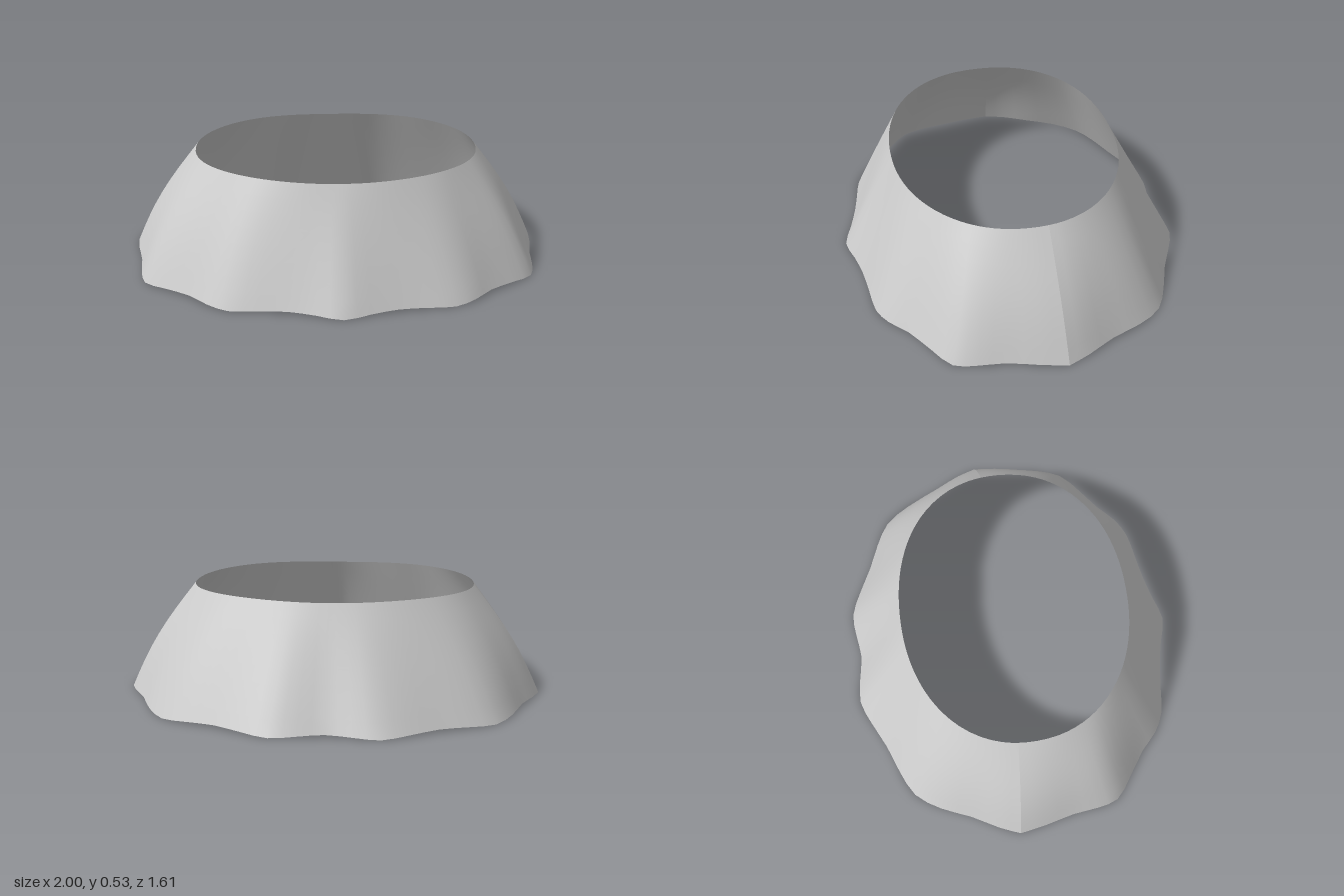
import * as THREE from 'three';

const HEIGHT = 0.525;
const ROWS = 8;
const STEPS = 2; // samples per hem point

// Right half of the wavy hem [x, z, y], from the side seam to each centre line
const frontHem = [
  [1, -0.09, 0], [0.98, 0.03, 0.007], [0.945, 0.18, 0.013], [0.93, 0.3, 0.008], [0.9, 0.405, 0],
  [0.8, 0.485, 0.008], [0.68, 0.57, 0.013], [0.595, 0.65, 0.008], [0.5, 0.7, 0],
  [0.37, 0.72, 0.007], [0.24, 0.74, 0.012], [0.12, 0.77, 0.007], [0, 0.803, 0],
];
const backHem = [
  [1, -0.09, 0], [0.96, -0.19, 0.007], [0.89, -0.32, 0.012], [0.83, -0.46, 0.007], [0.745, -0.58, 0],
  [0.62, -0.645, 0.008], [0.49, -0.695, 0.013], [0.36, -0.76, 0.007], [0.24, -0.808, 0],
  [0.12, -0.8, 0.006], [0, -0.783, 0.01],
];

// Rounded oval collar, sampled in the direction of a hem point
function rimPoint(p) {
  const a = Math.atan2(p.z, p.x), c = Math.cos(a), s = Math.sin(a), n = 2.15;
  const depth = s > 0 ? 0.545 : 0.527;
  const r = Math.pow(Math.pow(Math.abs(c) / 0.675, n) + Math.pow(Math.abs(s) / depth, n), -1 / n);
  return new THREE.Vector3(r * c, HEIGHT + 0.005 * Math.sin(2 * a) ** 2, r * s);
}

// One cloth panel running from seam to seam, lofted from hem to collar
function panel(name, half, material) {
  const mirrored = half.slice(0, -1).reverse().map(([x, z, y]) => [-x, z, y]);
  const points = [...half, ...mirrored].map(([x, z, y]) => new THREE.Vector3(x, y, z));
  const curve = new THREE.CatmullRomCurve3(points, false, 'centripetal');
  const cols = (points.length - 1) * STEPS;
  const positions = [], index = [];
  const flip = half[half.length - 1][1] < 0;
  for (let i = 0; i <= cols; i++) {
    const hem = curve.getPoint(i / cols), rim = rimPoint(hem);
    for (let j = 0; j <= ROWS; j++) {
      const t = j / ROWS, p = hem.clone().lerp(rim, t);
      // the sides belly outward a little
      p.x += 0.03 * Math.sin(Math.PI * t) * hem.x * Math.abs(hem.x);
      positions.push(p.x, p.y, p.z);
      if (i < cols && j < ROWS) {
        const a = i * (ROWS + 1) + j, b = a + ROWS + 1;
        if (flip) index.push(a, b, a + 1, b, b + 1, a + 1);
        else index.push(a, a + 1, b, b, a + 1, b + 1);
      }
    }
  }
  const geometry = new THREE.BufferGeometry();
  geometry.setAttribute('position', new THREE.Float32BufferAttribute(positions, 3));
  geometry.setIndex(index);
  geometry.computeVertexNormals();
  const mesh = new THREE.Mesh(geometry, material);
  mesh.name = name;
  return mesh;
}

export function createModel() {
  const group = new THREE.Group();
  group.name = 'flaredSkirt';
  const material = new THREE.MeshStandardMaterial({ color: 0xcccccc, side: THREE.DoubleSide });
  // Separate panels keep the side seams crisp
  group.add(panel('frontPanel', frontHem, material), panel('backPanel', backHem, material));
  return group;
}
